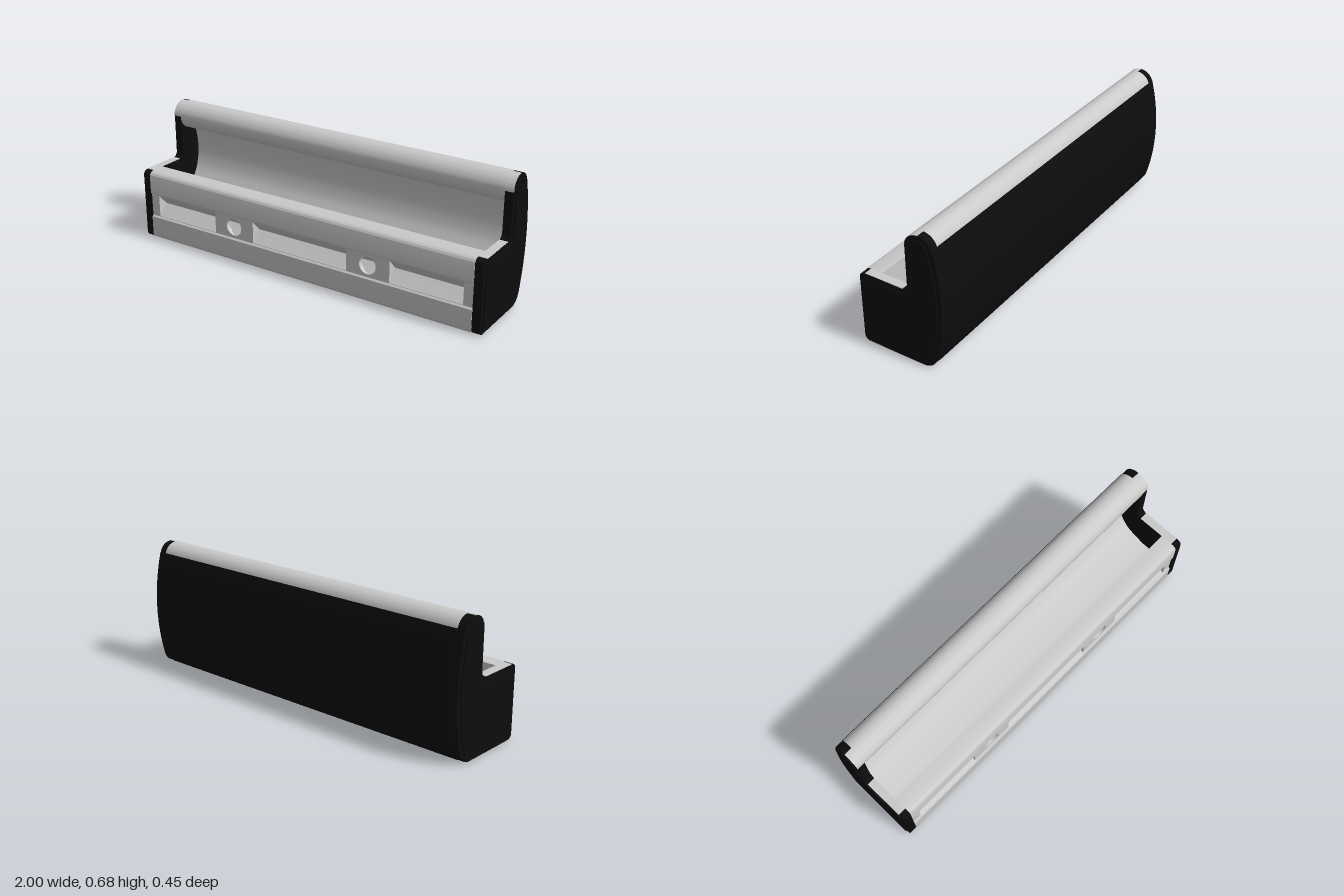
import * as THREE from 'three';
import { toCreasedNormals } from 'three/addons/utils/BufferGeometryUtils.js';

const PI = Math.PI;
const A = 0.2834;        // angle where the bowed back meets the round corners
const FRONT = 0.228, CORNER = 0.028, SHELF = 0.379;
const LIP = { z: -0.112, y: 0.61, r: 0.073 };

const grey = new THREE.MeshStandardMaterial({ color: 0xcacaca });
grey.name = 'satin grey';
const black = new THREE.MeshStandardMaterial({ color: 0x0d0d0d });
black.name = 'matt black';

// Extrude a (z, y) profile along x, from x0 to x1.
function alongX(name, shape, x0, x1, material) {
  const raw = new THREE.ExtrudeGeometry(shape, { depth: x1 - x0, bevelEnabled: false, curveSegments: 24 });
  raw.rotateY(-PI / 2).translate(x1, 0, 0);
  const mesh = new THREE.Mesh(toCreasedNormals(raw, 0.5), material);
  mesh.name = name;
  return mesh;
}

function polygon(points) {
  return new THREE.Shape(points.map(([z, y]) => new THREE.Vector2(z, y)));
}

// Rear lower corner and bowed back, inset by d.
function traceBack(s, d) {
  s.absarc(-0.112, 0.075, 0.075 - d, -PI / 2, -PI + A, true);
  s.absarc(0.808, 0.342, 1.033 - d, PI + A, PI - A, true);
}

// Full end-cap outline, inset by d.
function capOutline(d) {
  const c = CORNER - d;
  const s = new THREE.Shape();
  s.moveTo(0.2, d);
  s.lineTo(-0.112, d);
  traceBack(s, d);
  s.absarc(LIP.z, LIP.y, LIP.r - d, PI - A, 0, true);
  s.absarc(-0.011, 0.407, 0.028 + d, PI, 1.5 * PI, false);
  s.absarc(0.2, 0.351, c, PI / 2, 0, true);
  s.absarc(0.2, 0.028, c, 0, -PI / 2, true);
  return s;
}

// Hollow tray with a rolled lip and a V groove along the front.
function bodyProfile() {
  const s = new THREE.Shape();
  s.moveTo(0.2, 0);
  s.lineTo(-0.112, 0);
  traceBack(s, 0.006);
  s.absarc(LIP.z, LIP.y, LIP.r, PI - A, -2.0, true);
  s.splineThru([[-0.16, 0.5], [-0.172, 0.42], [-0.165, 0.34], [-0.14, 0.27], [-0.08, 0.19], [0.03, 0.15]]
    .map(([z, y]) => new THREE.Vector2(z, y)));
  s.lineTo(0.13, 0.15);
  s.lineTo(0.13, SHELF);
  s.absarc(0.2, 0.351, CORNER, PI / 2, 0, true);
  for (const [inset, y] of [[0, 0.26], [0.008, 0.252], [0.008, 0.25], [0.06, 0.193],
    [0.008, 0.134], [0.008, 0.132], [0, 0.124]]) s.lineTo(FRONT - inset, y);
  s.absarc(0.2, 0.028, CORNER, 0, -PI / 2, true);
  return s;
}

// Thin skin over the bowed back.
function backProfile() {
  const s = new THREE.Shape();
  s.moveTo(-0.112, 0);
  traceBack(s, 0);
  s.absarc(0.808, 0.342, 1.026, PI - A, PI + A, false);
  s.absarc(-0.112, 0.075, 0.068, -PI + A, -PI / 2, false);
  return s;
}

// Front quarter of the lip, as a thin skin.
function lipSkinProfile() {
  const s = new THREE.Shape();
  s.absarc(LIP.z, LIP.y, LIP.r, PI / 2, 0, true);
  s.absarc(LIP.z, LIP.y, LIP.r - 0.005, 0, PI / 2, false);
  return s;
}

// Block across the V groove, with a round hole in its face.
function grooveBlock(x0, x1) {
  const group = new THREE.Group();
  group.name = 'grooveBlock';
  const w = (x1 - x0) / 2, y0 = 0.134, y1 = 0.25, face = FRONT - 0.008;
  const plate = new THREE.Shape();
  plate.moveTo(-w, y0);
  plate.lineTo(w, y0);
  plate.lineTo(w, y1);
  plate.lineTo(-w, y1);
  const hole = new THREE.Path();
  hole.absarc(0, 0.193, 0.046, 0, 2 * PI, true);
  plate.holes.push(hole);
  const raw = new THREE.ExtrudeGeometry(plate, { depth: 0.025, bevelEnabled: false, curveSegments: 32 });
  raw.translate((x0 + x1) / 2, 0, face - 0.025);
  const mesh = new THREE.Mesh(toCreasedNormals(raw, 0.5), grey);
  mesh.name = 'drilledFace';
  group.add(mesh);
  const wedge = polygon([[face - 0.001, y0], [face - 0.001, y1], [FRONT - 0.06, 0.193]]);
  group.add(alongX('blockEnd', wedge, x0, x0 + 0.01, grey));
  group.add(alongX('blockEnd', wedge, x1 - 0.01, x1, grey));
  return group;
}

export function createModel() {
  const model = new THREE.Group();
  model.name = 'trayRail';

  model.add(alongX('trayBody', bodyProfile(), -0.95, 0.95, grey));
  model.add(alongX('backSkin', backProfile(), -0.95, 0.95, black));
  model.add(grooveBlock(-0.52, -0.28), grooveBlock(0.275, 0.515));

  // End caps with a raised side panel and grey skins on the flat faces.
  const shelfSkin = polygon([[0.195, SHELF - 0.004], [0.195, SHELF], [-0.015, SHELF], [-0.015, SHELF - 0.004]]);
  const baseSkin = polygon([[0.2, 0], [0.2, 0.005], [-0.112, 0.005], [-0.112, 0]]);
  const filler = polygon([[FRONT - 0.008, 0.134], [FRONT - 0.008, 0.25], [FRONT - 0.06, 0.193]]);
  for (const side of [-1, 1]) {
    const add = (name, shape, a, b, material) =>
      model.add(alongX(name, shape, Math.min(side * a, side * b), Math.max(side * a, side * b), material));
    add('endCap', capOutline(0.002), 0.95, 0.993, black);
    add('endCapPanel', capOutline(0.025), 0.99, 1, black);
    add('shelfSkin', shelfSkin, 0.95, 0.993, grey);
    add('baseSkin', baseSkin, 0.95, 0.993, grey);
    add('lipSkin', lipSkinProfile(), 0.95, 0.993, grey);
    add('grooveEnd', filler, 0.9, 0.95, grey);
  }
  return model;
}
